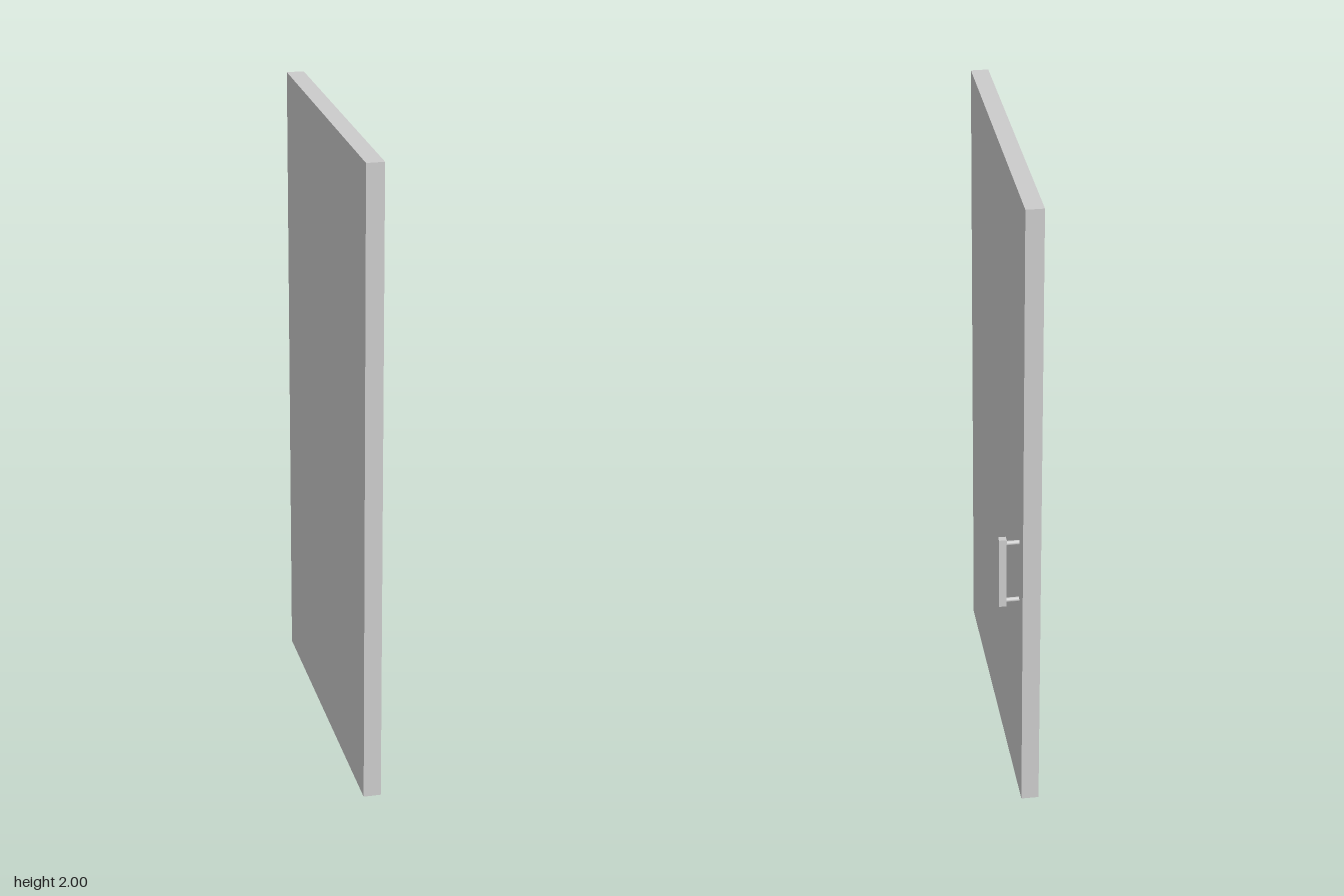
import * as THREE from 'three';

export function createModel() {
  const model = new THREE.Group();
  const material = new THREE.MeshStandardMaterial({ color: 0xcccccc });

  const add = (parent, name, geometry, x, y, z) => {
    const mesh = new THREE.Mesh(geometry, material);
    mesh.name = name;
    mesh.position.set(x, y, z);
    parent.add(mesh);
    return mesh;
  };

  // Door slab
  add(model, 'doorPanel', new THREE.BoxGeometry(0.054, 2, 1.064), -0.031, 1, 0);

  // Pull handle: square bar on two round posts
  const handle = new THREE.Group();
  handle.name = 'handle';
  handle.position.set(0, 0.797, -0.461);
  model.add(handle);

  add(handle, 'handleBar', new THREE.BoxGeometry(0.023, 0.233, 0.02), 0.0465, 0, 0);

  for (const side of [-1, 1]) {
    const post = add(handle, side > 0 ? 'upperPost' : 'lowerPost',
      new THREE.CylinderGeometry(0.007, 0.007, 0.041, 24), 0.0155, side * 0.1, 0);
    post.rotation.z = Math.PI / 2;
  }

  return model;
}
